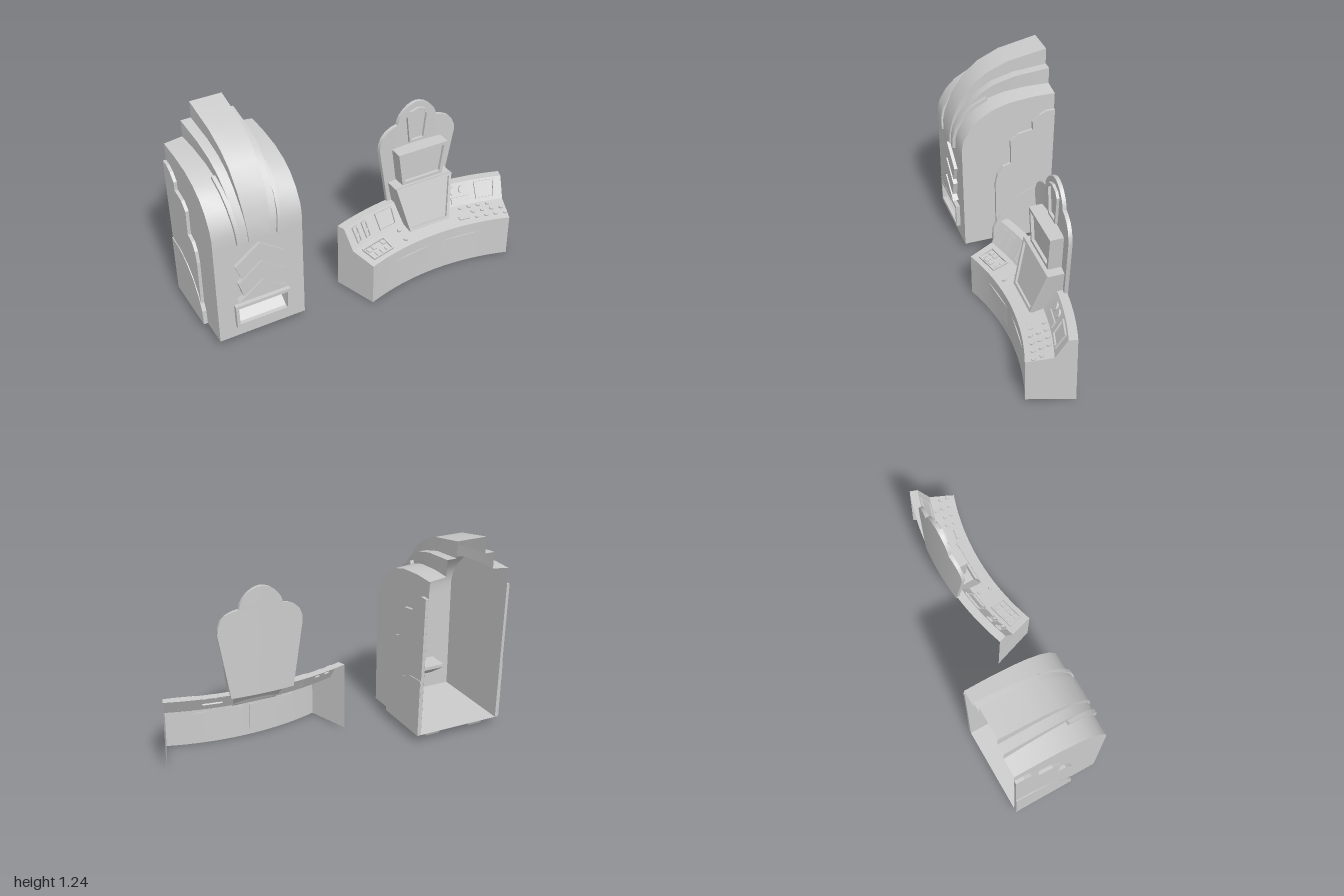
import * as THREE from 'three';
import { toCreasedNormals } from 'three/addons/utils/BufferGeometryUtils.js';

const grey = new THREE.MeshStandardMaterial({ color: 0xcccccc, side: THREE.DoubleSide });

function add(parent, name, geometry) {
  const mesh = new THREE.Mesh(geometry, grey);
  mesh.name = name;
  parent.add(mesh);
  return mesh;
}

// Skin over a row of cross-sections; closed joins each ring, capped fans over the ends
function loft(rings, closed = false, capped = false) {
  const n = rings[0].length, index = [];
  for (let i = 0; i < rings.length - 1; i++) {
    for (let j = 0; j < (closed ? n : n - 1); j++) {
      const a = i * n + j, b = i * n + (j + 1) % n;
      index.push(a, b, b + n, a, b + n, a + n);
    }
  }
  if (capped) {
    const e = (rings.length - 1) * n;
    for (let j = 1; j < n - 1; j++) index.push(0, j + 1, j, e, e + j, e + j + 1);
  }
  const g = new THREE.BufferGeometry();
  g.setAttribute('position', new THREE.Float32BufferAttribute(rings.flat(2), 3));
  g.setIndex(index);
  return toCreasedNormals(g, 0.5);
}

const points = (pts) => pts.map(([x, y]) => new THREE.Vector2(x, y));
function plate(outline, depth, hole) {
  const shape = new THREE.Shape(points(outline));
  if (hole) shape.holes.push(new THREE.Path(points(hole)));
  return new THREE.ExtrudeGeometry(shape, { depth, bevelEnabled: false });
}
const trapezoid = (low, high, y0, y1) => [[-low, y0], [low, y0], [high, y1], [-high, y1]];
const mirrored = (half) => [...half, ...half.filter((p) => p[0] > 0).reverse().map(([x, y]) => [-x, y])];

function createBooth() {
  const booth = new THREE.Group();
  booth.name = 'booth';
  booth.position.x = -0.715;
  const W = 0.262, F = 0.25;

  // Three stepped roof tiers as (z, y) profiles, back to front
  const low = [[-.335, 1.035], [-.2, 1.035], [-.05, 1.02], [.05, .99], [.13, .945], [.19, .885], [.235, .81], [F, .75], [F, .68], [F, .68]];
  const mid = [[-.338, 1.135], [-.13, 1.115], [0, 1.08], [.085, 1.03], [.15, .965], [.21, .88], [.245, .81], [.258, .75], [.26, .68], [F, .68]];
  const top = [[-.34, 1.235], [-.1, 1.19], [.03, 1.135], [.115, 1.07], [.2, .96], [.24, .87], [.258, .8], [.268, .74], [.268, .68], [F, .68]];
  const edge = low.map(([z, y], i) => [z, y - 0.013 * (1 - i / 9)]);
  const roof = low.map((p, i) => {
    const w2 = 0.155 - 0.06 * i / 9, w3 = 0.095 - 0.04 * i / 9;
    const half = [[W, edge[i]], [w2, p], [w2, mid[i]], [w3, mid[i]], [w3, top[i]]];
    return [...half.map(([x, q]) => [-x, q[1], q[0]]), ...half.reverse().map(([x, q]) => [x, q[1], q[0]])];
  });
  add(booth, 'steppedRoof', loft(roof));

  // Front wall with its tray opening, framed
  const opening = trapezoid(.145, .148, .145, .255);
  const wall = new THREE.Shape(points(trapezoid(W, W, .05, .68)));
  wall.holes.push(new THREE.Path(points(opening)));
  add(booth, 'frontWall', new THREE.ShapeGeometry(wall)).position.z = F;
  add(booth, 'trayFrame', plate(trapezoid(.163, .166, .125, .275), .025, opening)).position.z = F;
  const trayBack = trapezoid(.145, .148, .235, .255);
  add(booth, 'tray', loft([opening.map(([x, y]) => [x, y, F]), trayBack.map(([x, y]) => [x, y, .12])], true));
  add(booth, 'trayBack', new THREE.ShapeGeometry(new THREE.Shape(points(trayBack)))).position.z = .12;

  // Stacked chevrons
  [
    [[0, .52], [.115, .45], [.15, .545], [0, .655]],
    [[0, .405], [.115, .34], [.14, .43], [0, .54]],
    [[0, .31], [.145, .31], [0, .42]],
  ].forEach((half, i) => {
    add(booth, 'chevron', plate(mirrored(half), .02 + i * .008)).position.z = F;
  });

  // Sides, scalloped side plates and roof ribs
  const lowerPlate = [[-.3, .05], [.075, .05], [.07, .14], [.03, .23], [-.03, .305], [-.11, .365], [-.2, .4], [-.31, .41]];
  const upperPlate = [[-.3, .1], [.05, .1], [.05, .47], [.035, .54], [0, .585], [-.05, .6], [-.05, .755], [-.1, .795], [-.19, .81],
    [-.19, .86], [-.235, .9], [-.28, .92], [-.331, .92]];
  for (const s of [-1, 1]) {
    add(booth, 'sideWall', loft([edge.map(([z]) => [s * W, .05, Math.max(z, -.3)]), edge.map(([z, y]) => [s * W, y, z])]));
    for (const [outline, thick] of [[lowerPlate, .024], [upperPlate, .019]]) {
      const g = plate(outline, thick).rotateY(-Math.PI / 2);
      add(booth, 'sidePlate', g).position.x = s > 0 ? W + thick : -W;
    }
    const rib = low.slice(3, 9).map(([z, y], i) => {
      const d = new THREE.Vector2(z + .1, y - .6).setLength(.02);
      const x0 = s * (.135 - .006 * i), x1 = x0 + s * .022;
      return [[x0, y, z], [x1, y, z], [x1, y + d.y, z + d.x], [x0, y + d.y, z + d.x]];
    });
    add(booth, 'roofRib', loft(rib, true, true));
  }

  // Floor and tapered feet
  add(booth, 'floor', new THREE.PlaneGeometry(2 * W, F + .3).rotateX(-Math.PI / 2)).position.set(0, .05, (F - .3) / 2);
  for (const x of [-.15, .15]) for (const z of [-.205, .155]) {
    const foot = new THREE.CylinderGeometry(.09, .06, .045, 4).rotateY(Math.PI / 4);
    add(booth, 'foot', toCreasedNormals(foot, .3)).position.set(x, .0275, z);
  }
  return booth;
}

function createConsole() {
  const desk = new THREE.Group();
  desk.name = 'curvedConsole';
  desk.position.x = 0.425;
  const A = 0.328, CZ = 1.73;
  const polar = (a, r, y) => [r * Math.sin(a), y, CZ - r * Math.cos(a)];

  // Shell: front wall, sloping desk, steep instrument panel, top ledge
  const profile = [[1.475, 0], [1.475, .267], [1.63, .297], [1.7, .42], [1.75, .42]];
  const sweep = [];
  for (let i = 0; i <= 24; i++) {
    const a = A * (i / 12 - 1);
    sweep.push(profile.map(([r, y]) => polar(a, r, y)));
  }
  add(desk, 'consoleShell', loft(sweep));
  for (const a of [-A, A]) {
    add(desk, 'endWall', loft([profile.map(([r]) => polar(a, r, 0)), profile.map(([r, y]) => polar(a, r, y))]));
  }

  // Bent backboard with rounded shoulders and a domed head, as (y, half width)
  const board = [[.4, .19], [.6, .223], [.79, .255], [.83, .252], [.87, .235], [.9, .205], [.918, .165], [.925, .13],
    [.95, .125], [.98, .11], [1.01, .083], [1.03, .055], [1.043, .02], [1.045, 0]];
  const rings = board.map(([y, w]) => {
    const ring = [];
    for (const [r, dir] of [[1.733, 1], [1.755, -1]]) {
      for (let k = -6; k <= 6; k++) ring.push(polar(dir * k / 6 * w / 1.74, r, y));
    }
    return ring;
  });
  add(desk, 'backboard', loft(rings, true));
  const emblem = [[0, .79], [.052, .79], [.072, .965], [.05, .995], [0, 1.01]];
  const emblemHole = [[0, .805], [.04, .805], [.057, .96], [.04, .982], [0, .993]];
  add(desk, 'headFrame', plate(mirrored(emblem), .022, mirrored(emblemHole))).position.z = -.008;

  // Upper screen
  add(desk, 'upperScreen', plate(trapezoid(.135, .165, .56, .775), .075)).position.z = -.01;
  add(desk, 'upperScreenFrame', plate(trapezoid(.135, .165, .56, .775), .018, trapezoid(.118, .143, .58, .755))).position.z = .065;

  // Lower screen: wedge body with a leaning frame
  const wedge = [[.285, .135, .172, .12], [.42, .1625, .132, 0], [.555, .19, .092, -.005]];
  add(desk, 'lowerScreen', loft(wedge.map(([y, w, f, b]) => [[-w, y, f], [w, y, f], [w, y, b], [-w, y, b]]), true, true));
  const frame = add(desk, 'lowerScreenFrame', plate(trapezoid(.135, .19, 0, .282), .016, trapezoid(.12, .17, .018, .264)));
  frame.position.set(0, .285, .17);
  frame.rotation.x = -Math.atan(.08 / .27);

  // Puts a part on a band of the profile, at offset x and fraction t up the band
  function place(name, geometry, band, x, t) {
    const [r0, y0] = profile[band], [r1, y1] = profile[band + 1];
    const r = r0 + (r1 - r0) * t, a = Math.asin(x / r);
    const mesh = add(desk, name, geometry);
    mesh.position.set(...polar(a, r, y0 + (y1 - y0) * t));
    mesh.rotation.set(-Math.atan2(r1 - r0, y1 - y0), -a, 0, 'YXZ');
  }
  const block = (w, h, d) => new THREE.BoxGeometry(w, h, d);
  const knob = (r, d) => new THREE.CylinderGeometry(r, r, d, 12).rotateX(Math.PI / 2);
  const bezel = (w, h) => plate(trapezoid(w * .46, w / 2, -h / 2, h / 2), .012,
    trapezoid(w * .46 - .008, w / 2 - .008, -h / 2 + .008, h / 2 - .008));

  // Instrument panel
  for (const x of [-.47, -.4]) {
    place('gauge', bezel(.04, .1), 2, x, .52);
    place('slider', block(.03, .014, .016), 2, x, .5);
  }
  for (const x of [-.25, .43]) place('displayFrame', bezel(.13, .108), 2, x, .52);
  for (const x of [.235, .295]) place('dial', knob(.026, .024), 2, x, .68);
  place('switchBox', block(.115, .036, .02), 2, .265, .26);

  // Desk controls
  place('keypadFrame', bezel(.17, .1), 1, -.38, .5);
  for (let i = 0; i < 4; i++) for (const t of [.35, .65]) {
    if (i !== 2 || t < .5) place('key', block(.026, .03, .014), 1, -.435 + i * .036, t);
  }
  for (const t of [.3, .78]) place('knob', knob(.013, .024), 1, -.19, t);
  for (let i = 0; i < 5; i++) for (const t of [.3, .58, .86]) {
    if (t < .8 ? i > 0 : i < 4) place('button', knob(.013, .018), 1, .245 + i * .058, t);
  }
  place('deskSwitch', block(.065, .025, .016), 1, .225, .35);

  // Triangular inlays on the front wall
  for (const s of [-1, 1]) {
    place('frontInlay', plate([[-s * .15, -.16], [s * .15, 0], [-s * .15, 0]], .006), 0, s * .17, .75);
  }
  return desk;
}

export function createModel() {
  const model = new THREE.Group();
  model.name = 'boothAndConsole';
  model.add(createBooth(), createConsole());
  return model;
}
